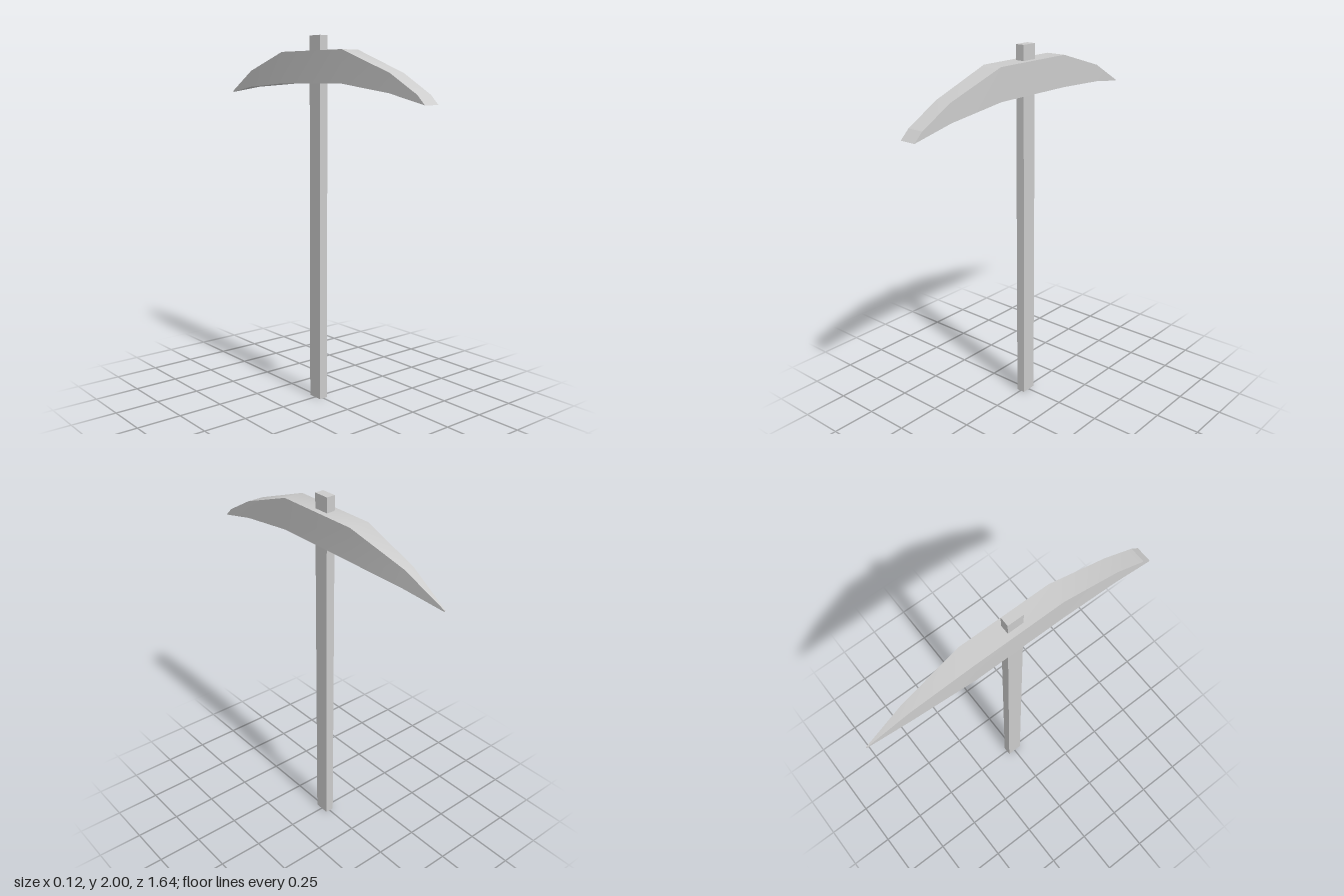
import * as THREE from 'three';
import { mergeGeometries, toCreasedNormals } from 'three/addons/utils/BufferGeometryUtils.js';

// Rings run from the chisel end (+z) to the point (-z):
// [z at top, z at bottom, top y, bottom y, half width at top, half width at bottom]
const RINGS = [
  [0.77, 0.82, 1.70, 1.653, 0.045, 0.045],
  [0.59, 0.59, 1.80, 1.705, 0.047, 0.05],
  [0.25, 0.25, 1.92, 1.75, 0.056, 0.058],
  [-0.25, -0.25, 1.92, 1.75, 0.056, 0.058],
  [-0.59, -0.59, 1.822, 1.73, 0.027, 0.031],
  [-0.82, -0.82, 1.705, 1.698, 0.002, 0.002],
];

// Corners of a ring, counter-clockwise seen from +z
const corners = ([zt, zb, yt, yb, wt, wb]) => [
  [-wb, yb, zb], [wb, yb, zb], [wt, yt, zt], [-wt, yt, zt],
];

function quads(list) {
  const pos = [];
  for (const [a, b, c, d] of list) pos.push(...a, ...b, ...c, ...a, ...c, ...d);
  const g = new THREE.BufferGeometry();
  g.setAttribute('position', new THREE.Float32BufferAttribute(pos, 3));
  g.computeVertexNormals();
  return g;
}

function headGeometry() {
  const rings = RINGS.map(corners);
  const sides = [];
  for (let i = 0; i < rings.length - 1; i++) {
    const a = rings[i], b = rings[i + 1];
    for (let j = 0; j < 4; j++) {
      const k = (j + 1) % 4;
      sides.push([a[j], b[j], b[k], a[k]]);
    }
  }
  const caps = [rings[0], [...rings[rings.length - 1]].reverse()];
  // Sides are smooth along the length; the end caps stay flat
  return mergeGeometries([toCreasedNormals(quads(sides), 0.5), quads(caps)]);
}

export function createModel() {
  const model = new THREE.Group();
  const material = new THREE.MeshStandardMaterial({ color: 0xcccccc });

  // Straight rectangular handle passing through the head
  const handle = new THREE.Mesh(new THREE.BoxGeometry(0.05, 2, 0.088), material);
  handle.name = 'handle';
  handle.position.y = 1;

  // Curved head: chisel at the front, point at the back
  const head = new THREE.Mesh(headGeometry(), material);
  head.name = 'head';

  model.add(handle, head);
  return model;
}
